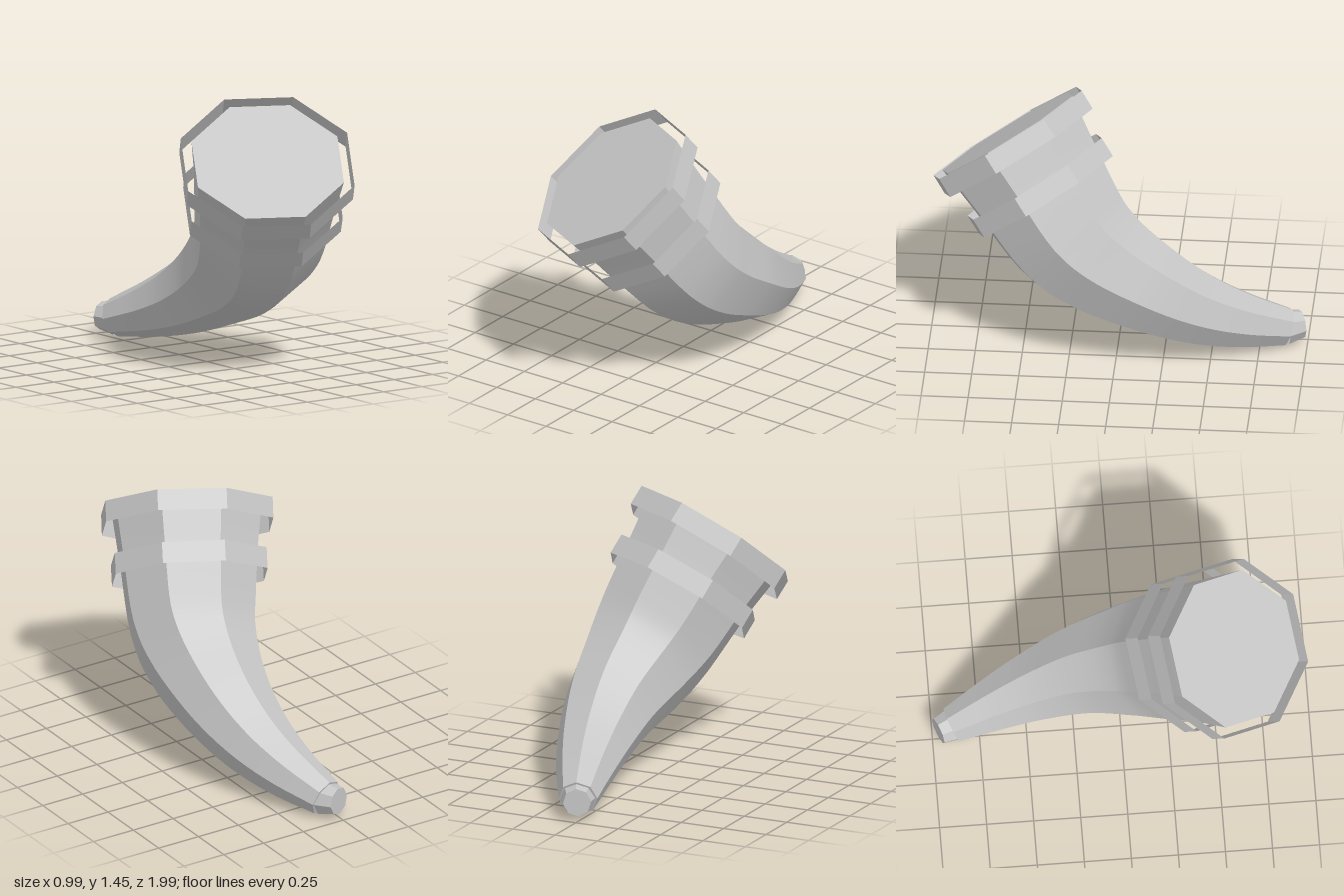
import * as THREE from 'three';

const SIDES = 8;
const V = (x, y, z) => new THREE.Vector3(x, y, z);

// Spine of the horn from mouth to tip: x, y, z, radius
const SPINE = [
  [-0.038, 1.178, 0.6, 0.422],
  [0.046, 0.964, 0.45, 0.387],
  [0.14, 0.7, 0.26, 0.355],
  [0.177, 0.57, 0.11, 0.322],
  [0.2, 0.417, -0.15, 0.262],
  [0.175, 0.285, -0.4, 0.208],
  [0.122, 0.19, -0.63, 0.16],
  [0.04, 0.105, -0.89, 0.104],
];

// Octagon corners at a station
function corner(s, k) {
  const a = (k / SIDES) * Math.PI * 2;
  const v = s.t.clone().cross(s.u);
  return s.p.clone().addScaledVector(s.u, Math.cos(a) * s.r).addScaledVector(v, Math.sin(a) * s.r);
}

// Eight facets, creased between each other but smooth along the length
function loft(stations, capStart, capEnd) {
  const pos = [], idx = [];
  const add = (p) => pos.push(p.x, p.y, p.z) / 3 - 1;
  for (let k = 0; k < SIDES; k++) {
    let prev = null;
    for (const s of stations) {
      const row = [add(corner(s, k)), add(corner(s, k + 1))];
      if (prev) idx.push(prev[0], prev[1], row[0], prev[1], row[1], row[0]);
      prev = row;
    }
  }
  const cap = (s, flip) => {
    const c = add(s.p), ring = [];
    for (let k = 0; k < SIDES; k++) ring.push(add(corner(s, k)));
    ring.forEach((a, k) => {
      const b = ring[(k + 1) % SIDES];
      if (flip) idx.push(c, b, a);
      else idx.push(c, a, b);
    });
  };
  if (capStart) cap(stations[0], true);
  if (capEnd) cap(stations[stations.length - 1], false);
  const g = new THREE.BufferGeometry();
  g.setAttribute('position', new THREE.Float32BufferAttribute(pos, 3));
  g.setIndex(idx);
  g.computeVertexNormals();
  return g;
}

export function createModel() {
  const group = new THREE.Group();
  group.name = 'horn';
  const grey = new THREE.MeshStandardMaterial({ color: 0xc4c4c4, side: THREE.DoubleSide });
  grey.name = 'light grey';
  const part = (name, geometry) => {
    const m = new THREE.Mesh(geometry, grey);
    m.name = name;
    group.add(m);
  };

  // Stations along the spine, with a frame carried along without twisting
  const curve = new THREE.CatmullRomCurve3(SPINE.map((s) => V(s[0], s[1], s[2])));
  const radii = new THREE.CatmullRomCurve3(SPINE.map((s, i) => V(s[3], i * 0.3, 0)));
  const perSpan = 5, n = (SPINE.length - 1) * perSpan;
  const u = V(0, 0.582, -0.813);
  const stations = [];
  for (let i = 0; i <= n; i++) {
    const t = curve.getTangent(i / n);
    u.addScaledVector(t, -u.dot(t)).normalize();
    stations.push({ p: curve.getPoint(i / n), r: radii.getPoint(i / n).x, t, u: u.clone() });
  }
  part('hornBody', loft(stations, true, true));

  // Loose open bands around the mouth and a little below it
  const band = (name, s, r) => {
    const a = { ...s, r };
    const b = { ...a, p: s.p.clone().addScaledVector(s.t, 0.113) };
    part(name, loft([a, b], false, false));
  };
  band('mouthBand', stations[0], 0.481);
  band('lowerBand', stations[perSpan], 0.437);

  // Blunt tip
  const last = stations[n];
  const t = V(-0.38, 0.03, -0.92).normalize();
  const tu = last.u.clone().addScaledVector(t, -last.u.dot(t)).normalize();
  const base = { p: last.p.clone().addScaledVector(t, -0.01), r: 0.096, t, u: tu };
  part('hornTip', loft([base, { ...base, p: last.p.clone().addScaledVector(t, 0.085), r: 0.075 }], false, true));

  return group;
}
